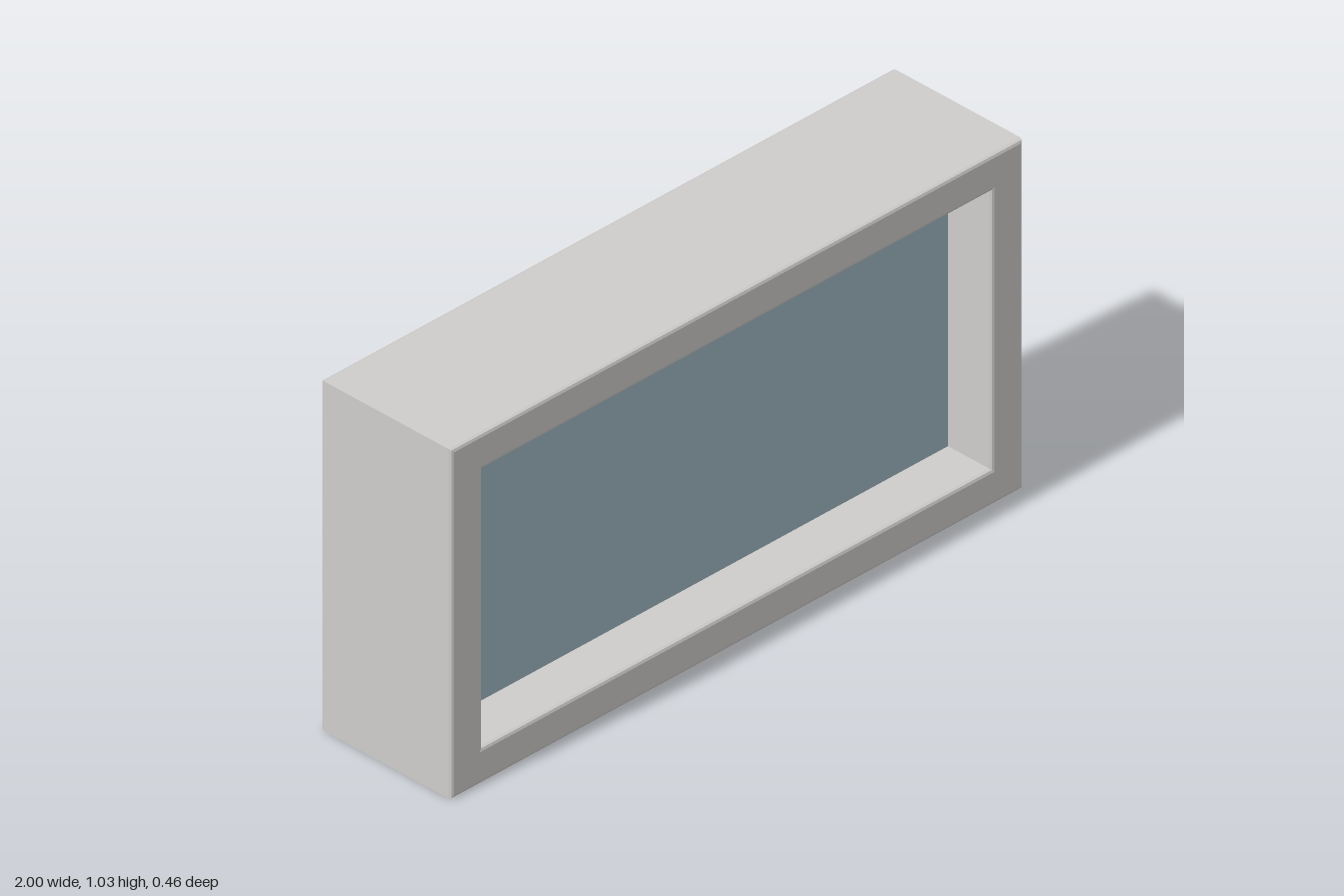
import * as THREE from 'three';

const W = 2, H = 1.03, D = 0.456;          // overall frame size
const OPEN_W = 1.78, OPEN_H = 0.82;        // clear opening
const BEVEL = 0.01;
const PANE_D = 0.15;

// Rectangle centred on the origin, usable as an outline or a hole
function rect(path, w, h) {
  path.moveTo(-w / 2, -h / 2);
  path.lineTo(w / 2, -h / 2);
  path.lineTo(w / 2, h / 2);
  path.lineTo(-w / 2, h / 2);
  path.closePath();
  return path;
}

export function createModel() {
  const frameMat = new THREE.MeshStandardMaterial({ name: 'warm grey frame', color: 0xcfcdcb });
  const glassMat = new THREE.MeshStandardMaterial({ name: 'blue grey glass', color: 0xa0b9c4 });
  const model = new THREE.Group();
  model.name = 'window';

  // Deep frame with softened edges outside and around the opening
  const outline = rect(new THREE.Shape(), W - 2 * BEVEL, H - 2 * BEVEL);
  outline.holes.push(rect(new THREE.Path(), OPEN_W + 2 * BEVEL, OPEN_H + 2 * BEVEL));
  const frameGeo = new THREE.ExtrudeGeometry(outline, {
    depth: D - 2 * BEVEL,
    bevelEnabled: true,
    bevelThickness: BEVEL,
    bevelSize: BEVEL,
    bevelSegments: 2,
  });
  frameGeo.translate(0, H / 2, -D / 2 + BEVEL);
  const frame = new THREE.Mesh(frameGeo, frameMat);
  frame.name = 'frame';
  model.add(frame);

  // Thick pane set back equally from both faces, tucked slightly into the frame
  const pane = new THREE.Mesh(new THREE.BoxGeometry(OPEN_W + 0.01, OPEN_H + 0.01, PANE_D), glassMat);
  pane.name = 'pane';
  pane.position.y = H / 2;
  model.add(pane);

  return model;
}
